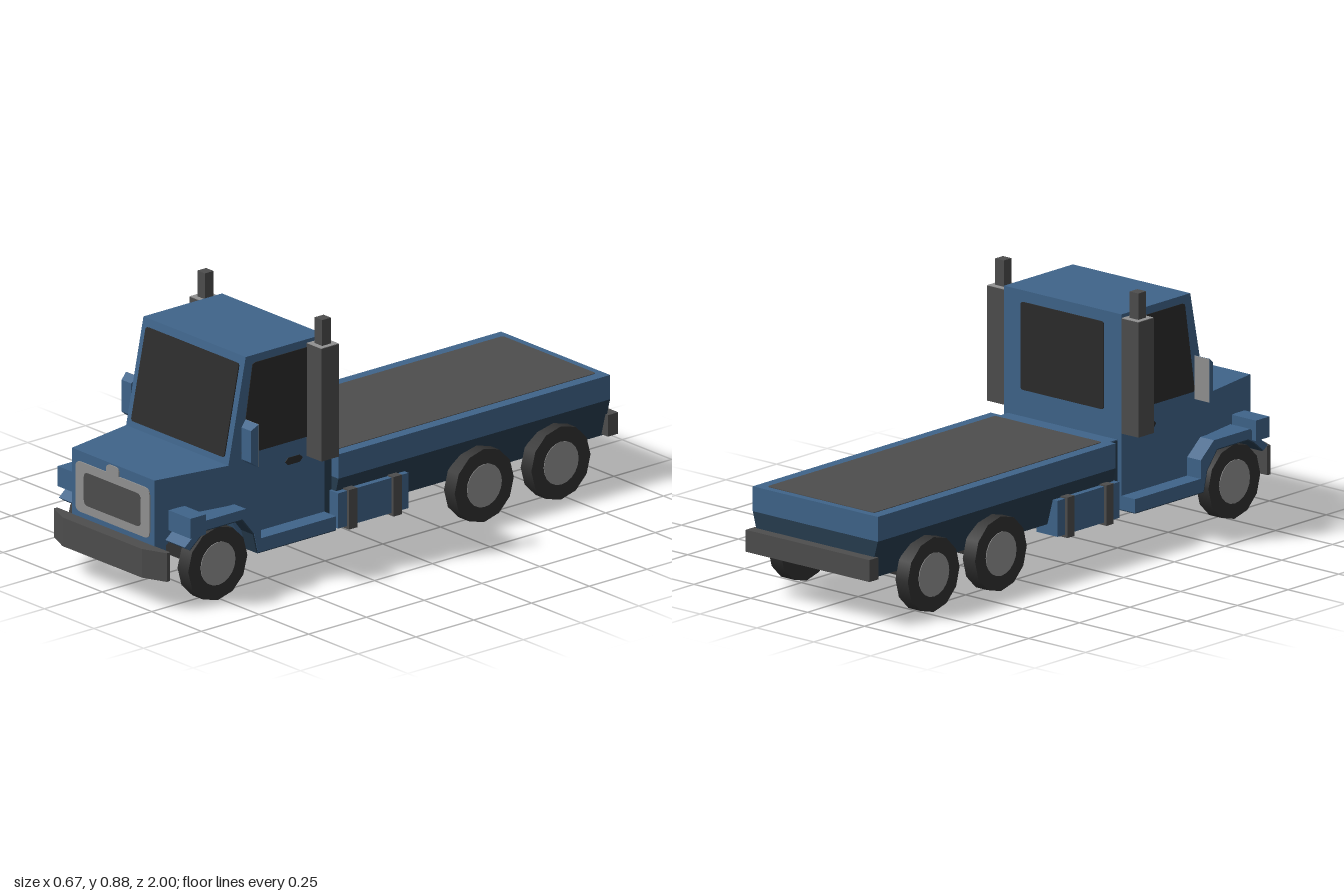
import * as THREE from 'three';

const mat = (name, color) => {
  const m = new THREE.MeshStandardMaterial({ color });
  m.name = name;
  return m;
};

export function createModel() {
  const blue = mat('blue paint', 0x3f648a);
  const navy = mat('dark blue underbody', 0x263c4f);
  const gray = mat('dark gray metal', 0x4d4d4d);
  const glass = mat('dark glass', 0x2b2b2b);
  const chrome = mat('light gray metal', 0x929292);
  const rubber = mat('tyre rubber', 0x313131);
  const root = new THREE.Group();
  root.name = 'flatbedTruck';

  const add = (name, geo, material, parent = root) => {
    const mesh = new THREE.Mesh(geo, material);
    mesh.name = name;
    parent.add(mesh);
    return mesh;
  };
  // Box given by its minimum and maximum on each axis
  const box = (name, m, x0, x1, y0, y1, z0, z1) => {
    const mesh = add(name, new THREE.BoxGeometry(Math.abs(x1 - x0), y1 - y0, z1 - z0), m);
    mesh.position.set((x0 + x1) / 2, (y0 + y1) / 2, (z0 + z1) / 2);
    return mesh;
  };
  const polygon = (pts) => new THREE.Shape(pts.map(([a, b]) => new THREE.Vector2(a, b)));
  const extrude = (pts, depth) => new THREE.ExtrudeGeometry(polygon(pts), { depth, bevelEnabled: false });
  // Outline in (z, y), extruded across x
  const across = (pts, x0, x1) => extrude(pts, x1 - x0).rotateY(-Math.PI / 2).translate(x1, 0, 0);
  // Thin plate with rounded corners, facing +z
  const plate = (w, h, r, depth = 0.004) => {
    const s = new THREE.Shape(), x = w / 2, y = h / 2;
    s.moveTo(-x + r, -y).lineTo(x - r, -y).quadraticCurveTo(x, -y, x, -y + r);
    s.lineTo(x, y - r).quadraticCurveTo(x, y, x - r, y);
    s.lineTo(-x + r, y).quadraticCurveTo(-x, y, -x, y - r);
    s.lineTo(-x, -y + r).quadraticCurveTo(-x, -y, -x + r, -y);
    return new THREE.ExtrudeGeometry(s, { depth, bevelEnabled: false, curveSegments: 4 });
  };

  // Cab with raked windscreen
  add('cab', across([[0.26, 0.13], [0.6, 0.13], [0.675, 0.26], [0.675, 0.435], [0.6, 0.797], [0.26, 0.797]],
    -0.258, 0.258), blue);
  box('cabFloor', navy, -0.317, 0.317, 0.127, 0.1305, 0.261, 0.6);

  // Hood narrowing towards the nose
  const hood = across([[0.675, 0.26], [0.845, 0.26], [0.91, 0.2], [0.91, 0.105], [0.952, 0.105],
    [0.952, 0.435], [0.675, 0.435]], -1, 1);
  const hp = hood.attributes.position;
  for (let i = 0; i < hp.count; i++) {
    const t = (hp.getZ(i) - 0.675) / 0.28;
    hp.setX(i, hp.getX(i) * (0.258 - 0.05 * t));
  }
  hood.computeVertexNormals();
  add('hood', hood, blue);

  // Dark lining of the front wheel arches
  const arch = [[0.598, 0.13], [0.615, 0.2], [0.665, 0.262], [0.82, 0.262], [0.85, 0.245], [0.895, 0.208]];
  const inner = arch.map(([z, y]) => [0.763 + (z - 0.763) * 0.97, 0.128 + (y - 0.128) * 0.97]);
  add('archLining', across([...arch, ...inner.reverse()], -0.316, 0.316), navy);

  // Windows
  const windscreen = add('windscreen', plate(0.47, 0.32, 0.012), glass);
  windscreen.position.set(0, 0.613, 0.6385);
  windscreen.rotation.x = -Math.atan2(0.075, 0.362);
  const rearWindow = add('rearWindow', plate(0.365, 0.3, 0.012), glass);
  rearWindow.position.set(0, 0.608, 0.26);
  rearWindow.rotation.y = Math.PI;

  // Grille and its top tab
  add('grilleSurround', plate(0.374, 0.175, 0.025), chrome).position.set(0, 0.3125, 0.952);
  add('grilleTab', plate(0.064, 0.05, 0.02), chrome).position.set(0, 0.405, 0.952);
  add('grilleCentre', plate(0.286, 0.115, 0.02), gray).position.set(0, 0.3125, 0.9535);

  // Bumpers
  const bumper = extrude([[-0.285, 0.95], [0.285, 0.95], [0.285, 0.965], [0.2, 1], [-0.2, 1], [-0.285, 0.965]], 0.1);
  add('frontBumper', bumper.rotateX(Math.PI / 2).translate(0, 0.205, 0), gray);
  box('rearBumper', gray, -0.272, 0.272, 0.155, 0.23, -1, -0.955);

  // Bed: straight rails above a darker tapered underside
  box('bedRail', blue, -0.275, 0.275, 0.285, 0.37, -0.962, 0.213);
  add('bedUnderside', extrude([[-0.238, 0.15], [0.238, 0.15], [0.275, 0.285], [-0.275, 0.285]], 1.175)
    .translate(0, 0, -0.962), navy);
  const deck = add('bedDeck', plate(0.47, 1.125, 0.01, 0.004), gray);
  deck.rotation.x = -Math.PI / 2;
  deck.position.set(0, 0.368, -0.373);
  box('bedLink', navy, -0.24, 0.24, 0.15, 0.362, 0.2, 0.27);
  box('bedLinkTop', blue, -0.24, 0.24, 0.362, 0.366, 0.2, 0.27);

  // Parts repeated on both sides
  for (const s of [-1, 1]) {
    const side = s > 0 ? 'left' : 'right';
    const sideBox = (name, m, x0, x1, ...rest) => box(side + name, m, s * x0, s * x1, ...rest);
    const sideAcross = (name, pts, x0, x1, m) =>
      add(side + name, across(pts, ...(s > 0 ? [x0, x1] : [-x1, -x0])), m);

    sideAcross('Window', [[0.325, 0.457], [0.615, 0.457], [0.62, 0.465], [0.572, 0.765], [0.56, 0.77], [0.325, 0.77]],
      0.255, 0.26, glass);
    sideAcross('DoorHandle', [[0.355, 0.39], [0.367, 0.377], [0.418, 0.377], [0.43, 0.39], [0.418, 0.402],
      [0.367, 0.402]], 0.255, 0.26, glass);

    // Front fender, running board and lamp housing
    sideAcross('Fender', [[0.585, 0.13], ...arch, [0.915, 0.222], [0.85, 0.275], [0.83, 0.295],
      [0.65, 0.295], [0.585, 0.24]], 0.22, 0.318, blue);
    sideBox('RunningBoard', blue, 0.25, 0.318, 0.13, 0.177, 0.26, 0.59);
    sideBox('LampHousing', blue, 0.225, 0.335, 0.255, 0.325, 0.838, 0.905);

    // Mirror with a smaller front face
    const shell = new THREE.BoxGeometry(0.066, 0.15, 0.026).toNonIndexed();
    const mp = shell.attributes.position;
    for (let i = 0; i < mp.count; i++) {
      if (mp.getZ(i) > 0) mp.setXY(i, mp.getX(i) * 0.72, mp.getY(i) * 0.74);
    }
    shell.computeVertexNormals();
    add(side + 'Mirror', shell, blue).position.set(s * 0.302, 0.51, 0.623);
    sideBox('MirrorGlass', chrome, 0.27, 0.334, 0.436, 0.584, 0.607, 0.611);

    // Exhaust stack
    sideBox('Stack', gray, 0.258, 0.333, 0.39, 0.783, 0.26, 0.337);
    sideBox('StackCap', chrome, 0.259, 0.332, 0.783, 0.785, 0.261, 0.336);
    sideBox('StackPipe', gray, 0.277, 0.315, 0.785, 0.875, 0.28, 0.318);

    // Fuel tank and straps
    sideBox('Tank', blue, 0.19, 0.283, 0.115, 0.238, -0.083, 0.222);
    for (const z of [-0.028, 0.165]) sideBox('TankStrap', gray, 0.185, 0.293, 0.105, 0.243, z - 0.018, z + 0.018);
  }

  // Wheels and axles
  for (const z of [0.763, -0.39, -0.722]) {
    box('axle', rubber, -0.26, 0.26, 0.105, 0.15, z - 0.025, z + 0.025);
    for (const s of [-1, 1]) {
      const wheel = new THREE.Group();
      wheel.name = 'wheel';
      wheel.position.set(s * 0.28, 0.128, z);
      wheel.rotation.z = -s * Math.PI / 2;
      root.add(wheel);
      add('tyre', new THREE.CylinderGeometry(0.128, 0.128, 0.054, 12), rubber, wheel);
      add('hub', new THREE.CylinderGeometry(0.075, 0.075, 0.004, 20), chrome, wheel).position.y = 0.027;
    }
  }
  return root;
}
